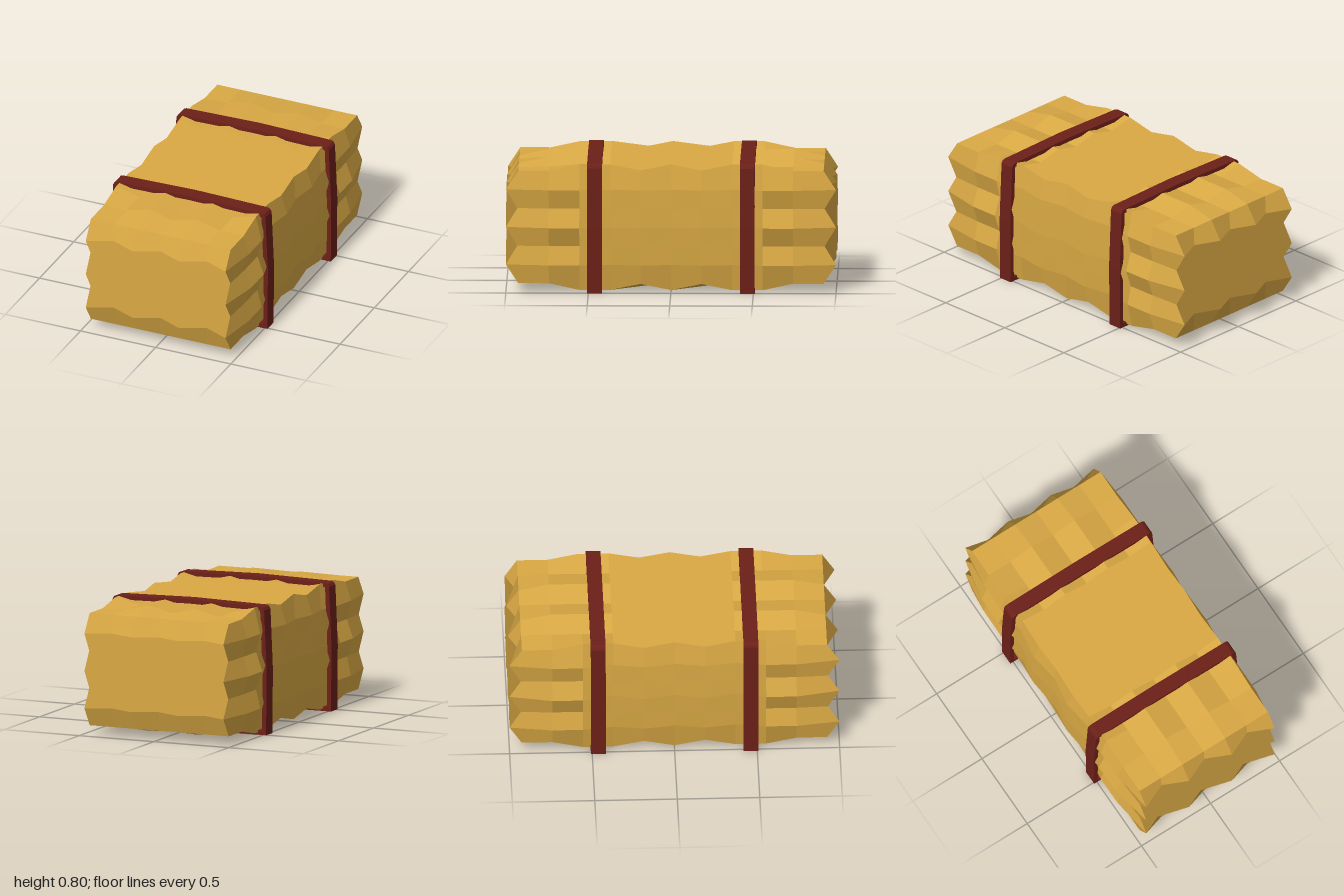
import * as THREE from 'three';

const straw = new THREE.MeshStandardMaterial({ color: 0xdaa944 });
const band = new THREE.MeshStandardMaterial({ color: 0x6c2018, flatShading: true });

const odd = (n) => Math.abs(n) % 2 === 1;

// How far a grid point (i, j, k) of the bale is pushed out: alternating peaks and dips
function bulgeX(j, k) {
  const row = Math.abs(j), col = Math.abs(k);
  if (row === 3 || col === 5) return 0;
  const peak = odd(j) === (col === 2 || col === 0);
  return peak ? 0.052 - row * 0.007 : 0.01;
}

function bulgeY(i, k) {
  const col = Math.abs(k);
  if (col === 5 || (col === 4 && Math.abs(i) === 3)) return 0;
  return odd(i) === (col !== 1) ? 0.04 : 0.003;
}

function bulgeZ(i, j) {
  if (Math.abs(j) === 3) return 0;
  return odd(i + j) ? 0.075 : 0.006;
}

// Straw block: a gridded box with lumpy faces, shaded one quad at a time
function createBale() {
  const box = new THREE.BoxGeometry(0.93, 0.69, 1.85, 6, 6, 10);
  const p = box.attributes.position;
  for (let n = 0; n < p.count; n++) {
    const i = Math.round(p.getX(n) / 0.155);
    const j = Math.round(p.getY(n) / 0.115);
    const k = Math.round(p.getZ(n) / 0.185);
    let x = p.getX(n), y = p.getY(n), z = p.getZ(n);
    if (Math.abs(i) === 3) x += Math.sign(i) * bulgeX(j, k);
    if (Math.abs(j) === 3) y += Math.sign(j) * bulgeY(i, k);
    if (Math.abs(k) === 5) z += Math.sign(k) * bulgeZ(i, j);
    p.setXYZ(n, x, y + 0.4, z);
  }

  // Split the quads of the two ends along the other diagonal
  const index = box.index;
  const endStart = box.groups[4].start;
  for (let q = endStart; q < index.count; q += 6) {
    index.setX(q + 2, index.getX(q + 4));
    index.setX(q + 3, index.getX(q));
  }

  // Both triangles of a quad share the normal of its two diagonals
  const geometry = box.toNonIndexed();
  const pos = geometry.attributes.position;
  const corner = (n) => new THREE.Vector3().fromBufferAttribute(pos, n);
  for (let q = 0; q < pos.count; q += 6) {
    const a = corner(q), b = corner(q + 1), c = corner(q + 4), d = corner(q + 5);
    const normal = c.sub(a).cross(d.sub(b)).normalize();
    for (let n = q; n < q + 6; n++) geometry.attributes.normal.setXYZ(n, normal.x, normal.y, normal.z);
  }
  const mesh = new THREE.Mesh(geometry, straw);
  mesh.name = 'strawBale';
  return mesh;
}

// Closed outline from its right half, mirrored in x
function mirrored(half) {
  const left = half.filter(([x]) => x > 0).reverse().map(([x, y]) => [-x, y]);
  return [...half, ...left].map(([x, y]) => new THREE.Vector2(x, y));
}

// Binding strap: a closed loop around the bale
function createStrap(z, name) {
  const shape = new THREE.Shape(mirrored(
    [[0.52, 0], [0.523, 0.4], [0.507, 0.765], [0.497, 0.782], [0.48, 0.788], [0, 0.798]]));
  shape.holes.push(new THREE.Path(mirrored(
    [[0.493, 0.028], [0.495, 0.4], [0.48, 0.763], [0, 0.772]])));
  const geometry = new THREE.ExtrudeGeometry(shape, { depth: 0.09, bevelEnabled: false });
  geometry.translate(0, 0, z - 0.045);
  const mesh = new THREE.Mesh(geometry, band);
  mesh.name = name;
  return mesh;
}

export function createModel() {
  const model = new THREE.Group();
  model.name = 'boundBale';
  model.add(createBale(), createStrap(0.463, 'frontStrap'), createStrap(-0.463, 'backStrap'));
  return model;
}
